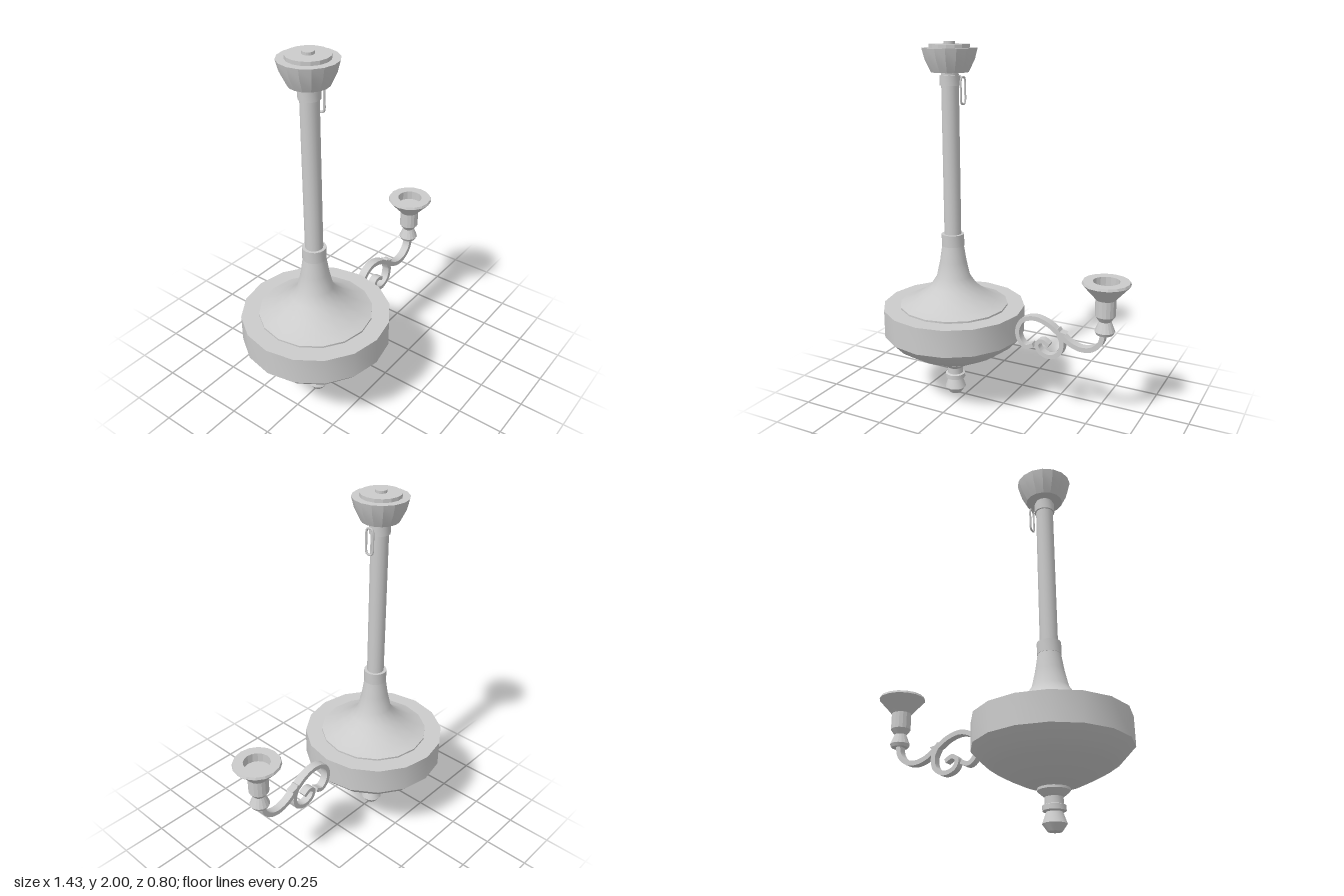
import * as THREE from 'three';
import { toCreasedNormals } from 'three/addons/utils/BufferGeometryUtils.js';

const material = new THREE.MeshStandardMaterial({ color: 0xcccccc, side: THREE.DoubleSide });
const POLE_X = -0.315, CUP_X = 0.588, ARM_WIDTH = 0.045;

function addMesh(group, name, geometry, x = 0) {
  const mesh = new THREE.Mesh(geometry, material);
  mesh.name = name;
  mesh.position.x = x;
  group.add(mesh);
  return mesh;
}

// Turned part from [radius, height] pairs, bottom to top; crease is in radians
function turned(profile, crease = 0.55, sides = 16) {
  const points = profile.map(([r, y]) => new THREE.Vector2(r, y));
  return toCreasedNormals(new THREE.LatheGeometry(points, sides), crease);
}

function extruded(shape) {
  const geometry = new THREE.ExtrudeGeometry(shape, { depth: ARM_WIDTH, bevelEnabled: false });
  geometry.translate(0, 0, -ARM_WIDTH / 2);
  return toCreasedNormals(geometry, 0.5);
}

// Flat bar following a curve in the xy plane, thickness going from t0 to t1
function scrollBar(path, t0, t1, steps = 44) {
  const curve = new THREE.CatmullRomCurve3(path.map(([x, y]) => new THREE.Vector3(x, y, 0)));
  const left = [], right = [];
  for (let i = 0; i <= steps; i++) {
    const u = i / steps;
    const p = curve.getPointAt(u), t = curve.getTangentAt(u);
    const h = THREE.MathUtils.lerp(t0, t1, u) / 2;
    left.push(new THREE.Vector2(p.x - t.y * h, p.y + t.x * h));
    right.push(new THREE.Vector2(p.x + t.y * h, p.y - t.x * h));
  }
  return extruded(new THREE.Shape([...right, ...left.reverse()]));
}

export function createModel() {
  const model = new THREE.Group();
  model.name = 'hangingLamp';

  // Central column
  const column = new THREE.Group();
  column.name = 'column';
  column.position.x = POLE_X;
  model.add(column);

  addMesh(column, 'finial', turned([
    [0, 0], [0.035, 0.005], [0.06, 0.04], [0.04, 0.095], [0.057, 0.1], [0.057, 0.125],
    [0.045, 0.13], [0.045, 0.165], [0.075, 0.19], [0.08, 0.195], [0.08, 0.212], [0, 0.212],
  ]));
  addMesh(column, 'bowl', turned([
    [0, 0.2], [0.08, 0.207], [0.15, 0.231], [0.22, 0.265], [0.29, 0.304], [0.347, 0.343], [0.4, 0.4],
  ], 0.7));
  addMesh(column, 'drum', turned([[0.4, 0.4], [0.4, 0.553], [0.28, 0.553]]));
  addMesh(column, 'bellCover', turned([
    [0.305, 0.553], [0.305, 0.563], [0.245, 0.583], [0.18, 0.625], [0.13, 0.667],
    [0.095, 0.72], [0.075, 0.81], [0.06, 0.905],
  ], 0.7));
  addMesh(column, 'lowerCollar', turned([
    [0.045, 0.9], [0.063, 0.9], [0.063, 0.967], [0.045, 0.967],
  ]));
  addMesh(column, 'pole', turned([[0.047, 0.89], [0.047, 1.86]]));
  addMesh(column, 'upperCollar', turned([
    [0.046, 1.775], [0.055, 1.775], [0.055, 1.827], [0.046, 1.827],
  ]));
  addMesh(column, 'canopy', turned([
    [0, 1.843], [0.1, 1.843], [0.133, 1.91], [0.148, 1.967], [0.108, 1.967],
    [0.108, 1.986], [0.03, 1.986], [0.03, 2], [0, 2],
  ], 0.3));

  // Hanging wire link beside the pole
  const link = new THREE.CatmullRomCurve3([
    [1.7, -0.022], [1.75, -0.022], [1.8, -0.022], [1.818, -0.014], [1.818, 0.014], [1.8, 0.022],
    [1.75, 0.022], [1.7, 0.022], [1.684, 0.014], [1.684, -0.014],
  ].map(([y, z]) => new THREE.Vector3(-0.237, y, z)), true);
  addMesh(model, 'wireLink', new THREE.TubeGeometry(link, 40, 0.006, 6, true));

  // Scrolled arm
  const arm = new THREE.Group();
  arm.name = 'arm';
  model.add(arm);
  addMesh(arm, 'armBar', scrollBar([
    [0.188, 0.405], [0.145, 0.388], [0.107, 0.42], [0.096, 0.48], [0.125, 0.538], [0.195, 0.563],
    [0.27, 0.545], [0.34, 0.5], [0.405, 0.455], [0.47, 0.437], [0.53, 0.45], [0.572, 0.492], [0.585, 0.55],
  ], 0.024, 0.027, 60));
  addMesh(arm, 'armCurl', scrollBar([
    [0.335, 0.505], [0.357, 0.45], [0.343, 0.388], [0.287, 0.357], [0.228, 0.377],
    [0.212, 0.418], [0.24, 0.44], [0.282, 0.42],
  ], 0.026, 0.022));
  addMesh(arm, 'armLeaf', extruded(new THREE.Shape([
    new THREE.Vector2(0.315, 0.52), new THREE.Vector2(0.35, 0.48), new THREE.Vector2(0.38, 0.507),
    new THREE.Vector2(0.345, 0.514), new THREE.Vector2(0.335, 0.53),
  ])));

  // Candle cup with a recessed socket
  addMesh(arm, 'candleCup', turned([
    [0, 0.543], [0.045, 0.543], [0.054, 0.56], [0.032, 0.615], [0.054, 0.645], [0.054, 0.735],
    [0.07, 0.755], [0.127, 0.818], [0.122, 0.831], [0.07, 0.831], [0.07, 0.78], [0, 0.78],
  ], 0.36), CUP_X);

  return model;
}
